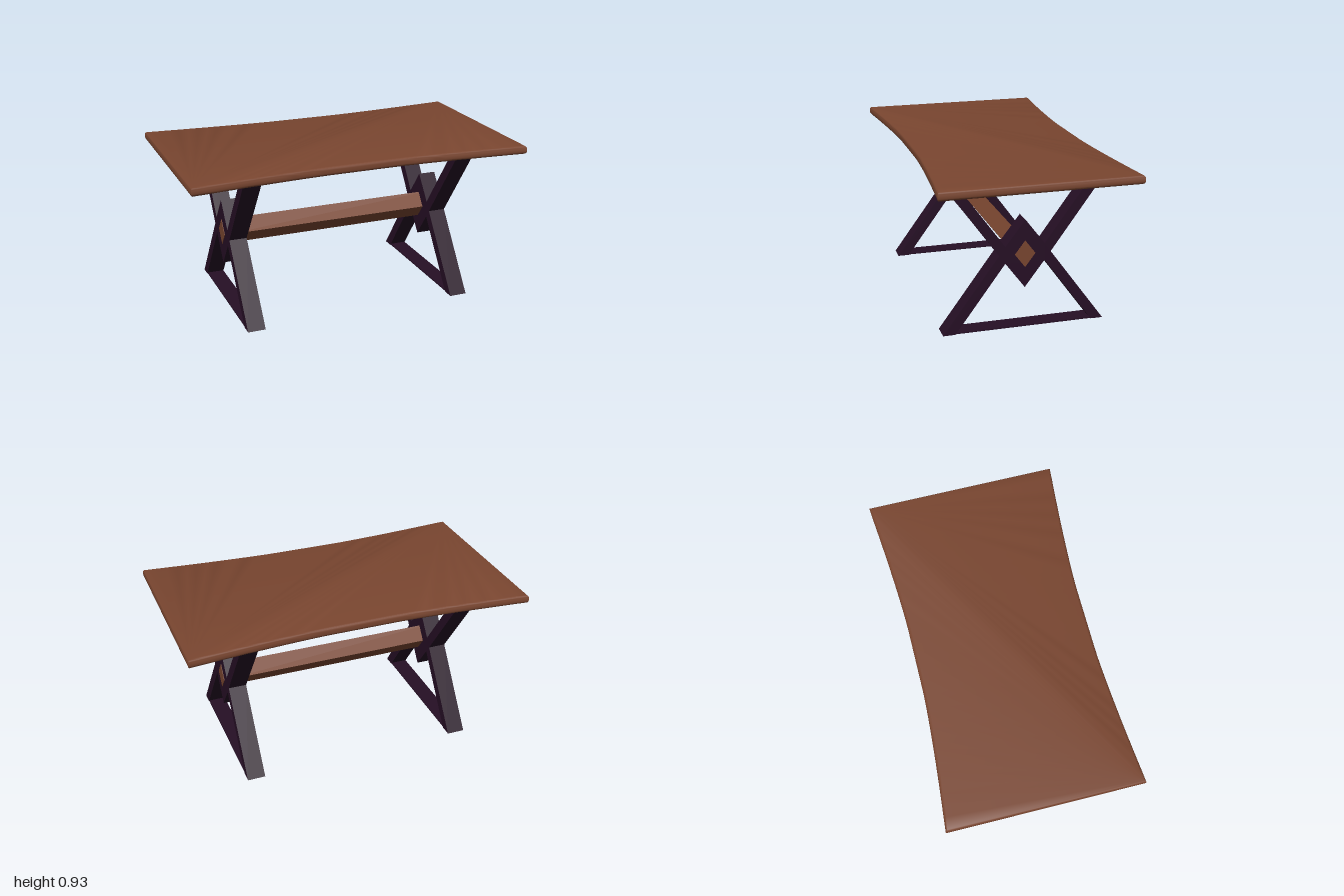
import * as THREE from 'three';
import { toCreasedNormals } from 'three/addons/utils/BufferGeometryUtils.js';

const wood = new THREE.MeshStandardMaterial({ color: 0x7a4630 });
wood.name = 'walnut brown';
const dark = new THREE.MeshStandardMaterial({ color: 0x260f25 });
dark.name = 'dark plum';

const polygon = (points) => new THREE.Shape(points.map(([a, b]) => new THREE.Vector2(a, b)));

// Extrudes a (z, y) side profile along x, centred on x = 0
function extrudeAlongX(points, width) {
  const geometry = new THREE.ExtrudeGeometry(polygon(points), { depth: width, bevelEnabled: false });
  return geometry.translate(0, 0, -width / 2).rotateY(-Math.PI / 2).scale(1, 1, 1);
}

function addMesh(parent, name, geometry, material) {
  const mesh = new THREE.Mesh(geometry, material);
  mesh.name = name;
  parent.add(mesh);
  return mesh;
}

// Tabletop with square ends, waisted long sides and a rounded rim
function tabletopGeometry() {
  const rim = 0.016, bottom = 0.878, top = 0.928, steps = 32;
  const halfDepth = (x) => 0.5 + 0.056 * Math.pow(Math.max(0, (Math.abs(x) - 0.2) / 0.8), 1.4);
  const side = [];
  for (let i = 0; i <= steps; i++) {
    const x = -1 + (2 * i) / steps;
    side.push([x * (1 - rim), halfDepth(x) - rim]);
  }
  const outline = [...side.map(([x, z]) => [x, -z]), ...side.reverse()];
  const geometry = new THREE.ExtrudeGeometry(polygon(outline), {
    depth: top - bottom - 2 * rim, bevelThickness: rim, bevelSize: rim, bevelSegments: 4,
  });
  geometry.rotateX(-Math.PI / 2).translate(0, bottom + rim, 0);
  return toCreasedNormals(geometry, 0.7);
}

export function createModel() {
  const group = new THREE.Group();
  group.name = 'trestleTable';
  addMesh(group, 'tabletop', tabletopGeometry(), wood);

  // Crossed legs with a solid diamond hub
  const right = [[0, 0.24], [0.113, 0.39], [0.398, 0], [0.468, 0], [0.148, 0.4375],
    [0.468, 0.879], [0.398, 0.879], [0.113, 0.488], [0, 0.635]];
  const left = right.slice(1, -1).reverse().map(([z, y]) => [-z, y]);
  const frameGeometry = extrudeAlongX([...right, ...left], 0.104);
  const barGeometry = new THREE.BoxGeometry(0.1, 0.008, 0.82);

  for (const sign of [-1, 1]) {
    const trestle = new THREE.Group();
    trestle.name = sign > 0 ? 'leftTrestle' : 'rightTrestle';
    trestle.position.x = sign * 0.64;
    addMesh(trestle, 'crossedLegs', frameGeometry, dark);
    addMesh(trestle, 'upperBar', barGeometry, dark).position.y = 0.871;
    addMesh(trestle, 'footBar', barGeometry, dark).position.y = 0.006;
    group.add(trestle);
  }

  // Diamond-section stretcher passing through both hubs
  const stretcher = [[0, 0.36], [0.059, 0.4375], [0, 0.515], [-0.059, 0.4375]];
  addMesh(group, 'stretcher', extrudeAlongX(stretcher, 1.39), wood);

  // Small plain patch under one corner
  const patch = polygon([[0.955, 0.4], [0.93, 0.27], [0.965, 0.24], [0.9, 0.23], [0.84, 0.31], [0.9, 0.33]]);
  const patchGeometry = new THREE.ExtrudeGeometry(patch, { depth: 0.005, bevelEnabled: false });
  addMesh(group, 'undersidePatch', patchGeometry.rotateX(Math.PI / 2).translate(0, 0.879, 0), dark);
  return group;
}
